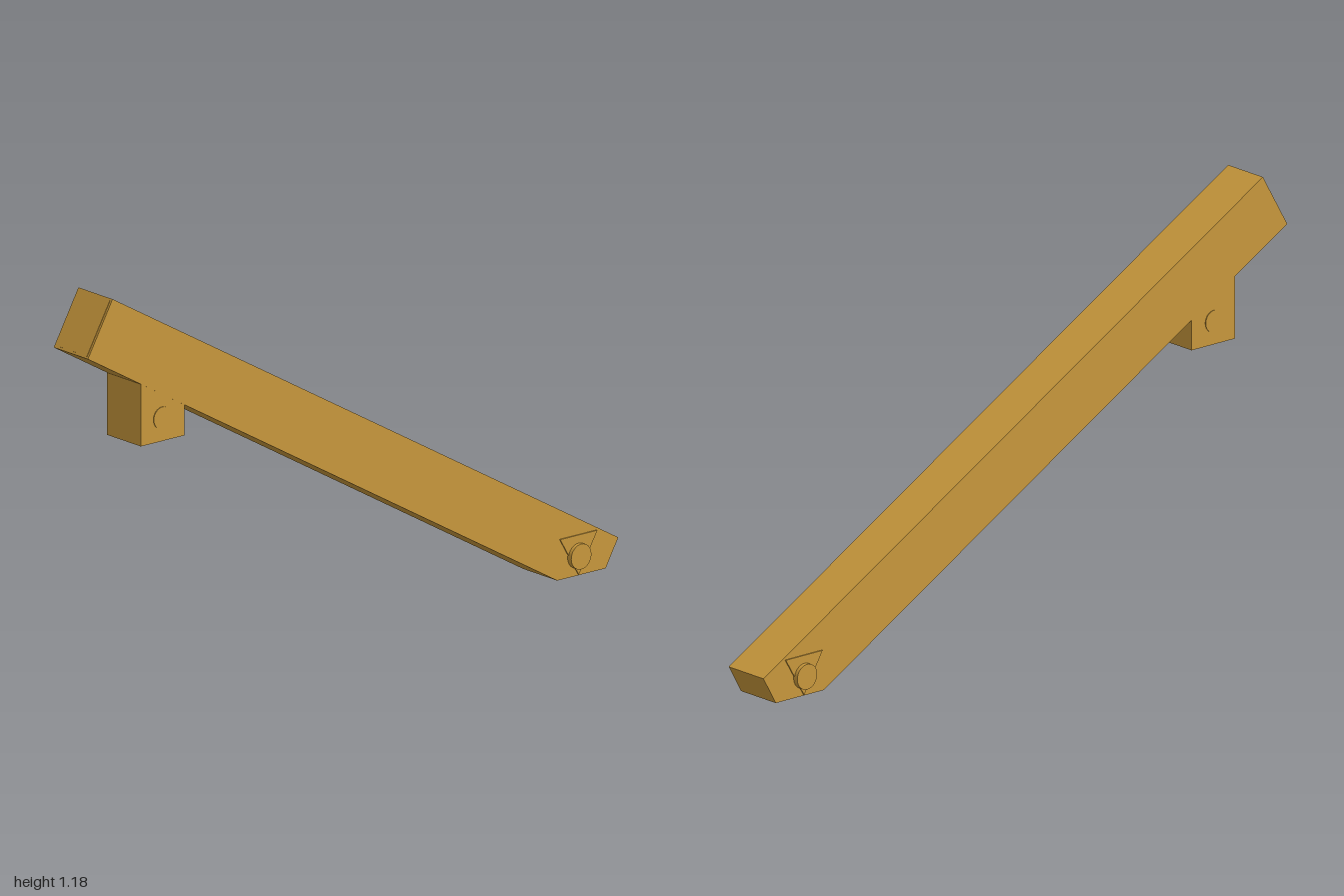
import * as THREE from 'three';

const HALF = 0.075; // half depth of the timber

// Extrude an x-y outline symmetrically about z = 0
function slab(points, halfDepth) {
  const shape = new THREE.Shape(points.map(([x, y]) => new THREE.Vector2(x, y)));
  const geo = new THREE.ExtrudeGeometry(shape, { depth: halfDepth * 2, bevelEnabled: false });
  return geo.translate(0, 0, -halfDepth);
}

export function createModel() {
  const group = new THREE.Group();
  const wood = new THREE.MeshStandardMaterial({ color: 0xc8983c });
  wood.name = 'golden wood';

  const add = (name, geo, x = 0, y = 0, z = 0) => {
    const mesh = new THREE.Mesh(geo, wood);
    mesh.name = name;
    mesh.position.set(x, y, z);
    group.add(mesh);
    return mesh;
  };

  // Sloping beam with its foot cut level
  add('beam', slab([[-1, 1.022], [0.77, 0], [0.953, 0], [1, 0.083], [-0.907, 1.183]], HALF));

  // Thin plate on the upper end
  const endPlate = add('endPlate', new THREE.BoxGeometry(0.003, 0.172, 0.136), -0.9535, 1.1025, 0);
  endPlate.rotation.z = -Math.PI / 6;

  // Block under the beam, top cut to the slope
  add('block', slab([[-0.8, 0.72], [-0.635, 0.72], [-0.635, 0.83], [-0.8, 0.925]], HALF - 0.0005));

  // Pegs and triangular plates on both faces
  for (const side of [1, -1]) {
    const blockPeg = add('blockPeg', new THREE.CylinderGeometry(0.033, 0.033, 0.004, 32), -0.72, 0.79, side * HALF);
    blockPeg.rotation.x = Math.PI / 2;

    add('footPlate', slab([[0.778, 0.122], [0.848, 0.003], [0.918, 0.122]], 0.004), 0, 0, side * HALF);

    const footPeg = add('footPeg', new THREE.CylinderGeometry(0.038, 0.038, 0.03, 32), 0.847, 0.06, side * (HALF + 0.001));
    footPeg.rotation.x = Math.PI / 2;
  }
  return group;
}
